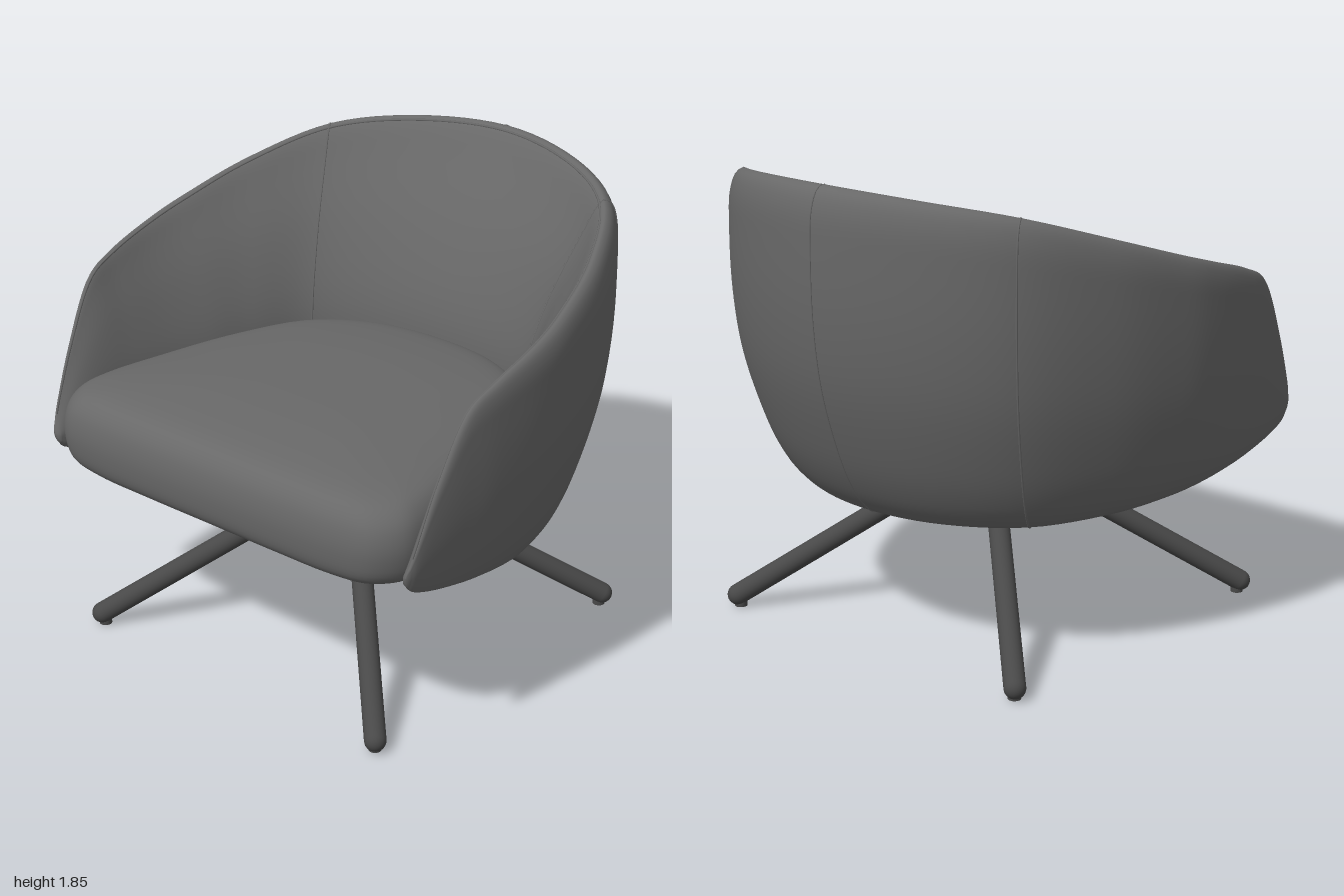
import * as THREE from 'three';

const V = (x, y, z) => new THREE.Vector3(x, y, z);

// Smooth skin over a list of closed rings with equal point counts
function loft(rings) {
  const n = rings[0].length, pos = [], idx = [];
  rings.forEach(r => r.forEach(p => pos.push(p.x, p.y, p.z)));
  for (let i = 0; i < rings.length - 1; i++) {
    for (let j = 0; j < n; j++) {
      const a = i * n + j, b = i * n + (j + 1) % n;
      idx.push(a, b, a + n, b, b + n, a + n);
    }
  }
  const g = new THREE.BufferGeometry();
  g.setAttribute('position', new THREE.Float32BufferAttribute(pos, 3));
  g.setIndex(idx);
  g.computeVertexNormals();
  return g;
}

// Half of the shell, back centre to arm tip:
// outer x, z | bottom lip x, z | inner x, z | top y, bottom y
const STATIONS = [
  [0, -0.928, 0, -0.595, 0, -0.475, 1.847, 0.547],
  [0.4, -0.84, 0.3, -0.545, 0.3, -0.425, 1.826, 0.549],
  [0.715, -0.635, 0.575, -0.38, 0.535, -0.285, 1.775, 0.557],
  [0.9, -0.31, 0.75, -0.12, 0.65, -0.065, 1.672, 0.578],
  [0.982, 0, 0.84, 0.1, 0.71, 0.12, 1.576, 0.606],
  [1, 0.2, 0.88, 0.27, 0.76, 0.28, 1.517, 0.632],
  [0.987, 0.42, 0.895, 0.44, 0.8, 0.44, 1.453, 0.66],
  [0.964, 0.57, 0.897, 0.57, 0.828, 0.57, 1.375, 0.685],
  [0.938, 0.7, 0.893, 0.7, 0.845, 0.7, 1.15, 0.715],
  [0.918, 0.79, 0.89, 0.79, 0.862, 0.79, 0.945, 0.748],
  [0.905, 0.823, 0.888, 0.822, 0.87, 0.823, 0.86, 0.78],
];
// Wall section: [height, share of outer, share of inner]; the rest is the lip
const PROFILE = [
  [0, 0.03, 0], [0.04, 0.24, 0], [0.12, 0.45, 0], [0.23, 0.64, 0], [0.42, 0.87, 0],
  [0.62, 0.98, 0], [0.82, 1, 0], [0.93, 0.98, 0.01], [0.985, 0.92, 0.08], [1, 0.84, 0.16],
  [0.982, 0.77, 0.23], [0.9, 0.62, 0.38], [0.7, 0.29, 0.71], [0.45, 0.03, 0.97],
  [0.25, 0, 1], [0.1, 0, 0.9], [0.02, 0, 0.5],
];
const RIM = 9.7;

const rows = [
  ...STATIONS.slice(1).reverse().map(r => r.map((v, k) => (k % 2 === 0 && k < 6 ? -v : v))),
  ...STATIONS,
];
const guide = (kx, kz, ky) =>
  new THREE.CatmullRomCurve3(rows.map(r => V(r[kx], r[ky], r[kz])), false, 'catmullrom', 0.5);
const outer = guide(0, 1, 6), lip = guide(2, 3, 7), inner = guide(4, 5, 7);

// Closed wall section at t, from one arm tip (0) to the other (1)
function section(t) {
  const o = outer.getPoint(t), l = lip.getPoint(t), n = inner.getPoint(t);
  const pts = PROFILE.map(([h, a, b]) => {
    const c = 1 - a - b;
    return V(o.x * a + n.x * b + l.x * c, l.y + (o.y - l.y) * h, o.z * a + n.z * b + l.z * c);
  });
  return new THREE.CatmullRomCurve3(pts, true, 'centripetal');
}

function shellGeometry() {
  const rings = [];
  for (let i = 0; i <= 120; i++) rings.push(section(i / 120).getPoints(64).slice(0, 64));
  // Round off and close both arm tips
  const collapse = (ring, k, dz) => {
    const c = ring.reduce((s, p) => s.add(p), V(0, 0, 0)).divideScalar(ring.length);
    return ring.map(p => p.clone().lerp(c, k).add(V(0, 0, dz)));
  };
  const tip = ring => [collapse(ring, 1, 0.012), collapse(ring, 0.4, 0.009)];
  return loft([...tip(rings[0]), ...rings, ...tip(rings[120]).reverse()]);
}

function cushionGeometry() {
  const half = [[0, 0.925], [0.35, 0.925], [0.62, 0.918], [0.77, 0.885], [0.855, 0.79], [0.865, 0.67],
    [0.82, 0.4], [0.73, 0.02], [0.58, -0.31], [0.33, -0.48]];
  const plan = [...half, [0, -0.53], ...half.slice(1).reverse().map(([x, z]) => [-x, z])];
  const outline = new THREE.CatmullRomCurve3(plan.map(([x, z]) => V(x, 0, z)), true, 'centripetal')
    .getPoints(96).slice(0, 96);
  // [scale about the middle, height]
  const side = [[0, 0.73], [0.5, 0.73], [0.85, 0.732], [0.935, 0.742], [0.98, 0.78], [1, 0.86],
    [0.997, 0.93], [0.975, 0.99], [0.93, 1.035], [0.86, 1.06], [0.7, 1.08], [0.4, 1.097], [0, 1.1]];
  const curve = new THREE.CatmullRomCurve3(side.map(([s, y]) => V(s, y, 0)), false, 'centripetal');
  return loft(curve.getPoints(48).map(q => {
    const s = Math.max(q.x, 0);
    return outline.map(p => V(p.x * s, q.y, 0.2 + (p.z - 0.2) * s));
  }));
}

export function createModel() {
  const fabric = new THREE.MeshStandardMaterial({ color: 0x686868 });
  fabric.name = 'grey upholstery';
  const metal = new THREE.MeshStandardMaterial({ color: 0x484848 });
  metal.name = 'dark metal';

  const chair = new THREE.Group();
  chair.name = 'tubArmchair';
  const add = (name, geometry, material, x = 0, y = 0, z = 0) => {
    const m = new THREE.Mesh(geometry, material);
    m.name = name;
    m.position.set(x, y, z);
    chair.add(m);
    return m;
  };
  const cord = (name, pts, r, closed = false) => add(name,
    new THREE.TubeGeometry(new THREE.CatmullRomCurve3(pts, closed), pts.length * 2, r, 6, closed), fabric);

  // Upholstery
  add('shell', shellGeometry(), fabric);
  add('seatCushion', cushionGeometry(), fabric);

  // Seams: one around each side of the back, one down the rear centre
  cord('rightSeam', section(0.4).getPoints(64).slice(0, 64), 0.004, true);
  cord('leftSeam', section(0.6).getPoints(64).slice(0, 64), 0.004, true);
  cord('rearSeam', section(0.5).getPoints(64).slice(0, 36), 0.003);

  // Piping along the inner edge of the rim
  const rim = [];
  for (let i = 2; i <= 78; i++) rim.push(section(i / 80).getPoint(RIM / PROFILE.length));
  cord('rimPiping', rim, 0.005);

  // Swivel base
  const cx = -0.013, cz = 0.06;
  add('mountingPlate', new THREE.BoxGeometry(0.5, 0.006, 0.5), metal, cx, 0.729, cz);
  for (const sx of [-1, 1]) {
    for (const sz of [-1, 1]) {
      add('plateScrew', new THREE.CylinderGeometry(0.022, 0.022, 0.004, 16), metal,
        cx + sx * 0.17, 0.725, cz + sz * 0.17);
    }
  }
  add('column', new THREE.CylinderGeometry(0.055, 0.055, 0.08, 32), metal, cx, 0.7, cz);
  add('hub', new THREE.CylinderGeometry(0.045, 0.05, 0.12, 32), metal, cx, 0.605, cz);

  // Four splayed legs with floor glides
  for (const sx of [-1, 1]) {
    for (const sz of [-1, 1]) {
      const top = V(cx + sx * 0.06, 0.605, cz + sz * 0.06);
      const foot = V(cx + sx * 0.72, 0.047, cz + sz * 0.718);
      const dir = top.clone().sub(foot);
      const mid = top.clone().add(foot).multiplyScalar(0.5);
      const leg = add('leg', new THREE.CapsuleGeometry(0.042, dir.length(), 8, 24), metal, mid.x, mid.y, mid.z);
      leg.quaternion.setFromUnitVectors(V(0, 1, 0), dir.normalize());
      add('glide', new THREE.CylinderGeometry(0.025, 0.025, 0.02, 16), metal,
        cx + sx * 0.712, 0.01, cz + sz * 0.71);
    }
  }
  return chair;
}
